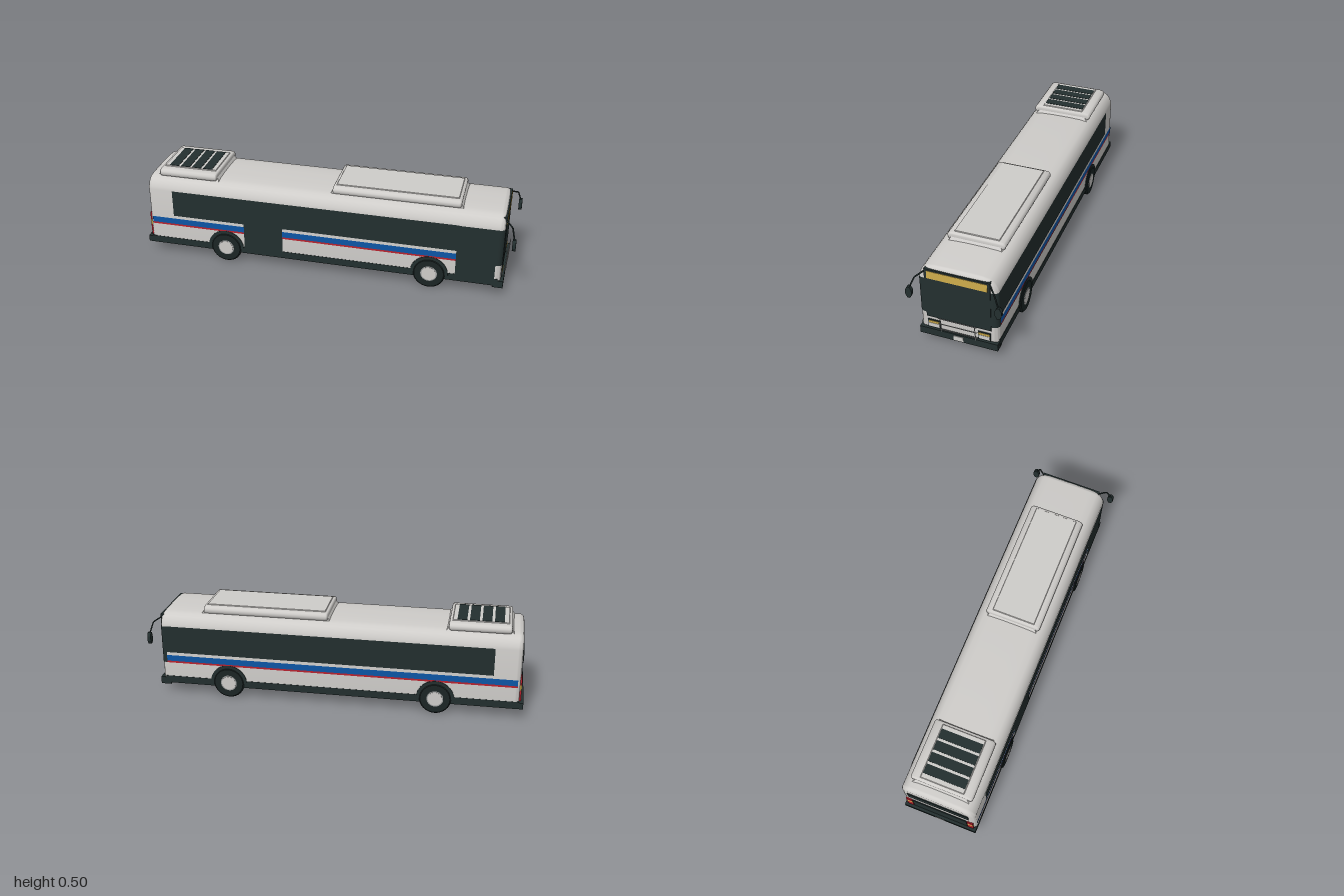
import * as THREE from 'three';
import { toCreasedNormals } from 'three/addons/utils/BufferGeometryUtils.js';

const paint = (name, color) => Object.assign(new THREE.MeshStandardMaterial({ color }), { name });

export function createModel() {
  const bus = new THREE.Group();
  bus.name = 'bus';
  const white = paint('bodyWhite', 0xcfcdca);
  const dark = paint('darkGlass', 0x232f2f);
  const rubber = paint('tyreRubber', 0x1b2525);
  const blue = paint('stripeBlue', 0x0c56a6);
  const red = paint('stripeRed', 0xb8222e);
  const gold = paint('signAmber', 0xd0ae4c);
  const grey = paint('rackGrey', 0x9c9e9e);
  const stripMats = new Map();
  const twoSided = [dark, blue, red];
  twoSided.forEach((m) => { m.side = THREE.DoubleSide; stripMats.set(m, m); });

  const add = (name, geo, mat) => {
    const m = new THREE.Mesh(geo, mat);
    m.name = name;
    bus.add(m);
    return m;
  };
  // Box given by its limits on each axis
  const box = (name, mat, x0, x1, y0, y1, z0, z1) => {
    const m = add(name, new THREE.BoxGeometry(x1 - x0, y1 - y0, z1 - z0), mat);
    m.position.set((x0 + x1) / 2, (y0 + y1) / 2, (z0 + z1) / 2);
    return m;
  };
  // Symmetric cross-section extruded along x with rounded ends
  const loft = (name, half, x0, x1, r, steps) => {
    const pts = [...half, ...half.slice().reverse().map(([z, y]) => [-z, y])];
    const shape = new THREE.Shape(pts.map(([z, y]) => new THREE.Vector2(z, y)));
    const geo = new THREE.ExtrudeGeometry(shape, {
      depth: x1 - x0 - 2 * r, bevelSize: r, bevelThickness: r, bevelOffset: -r, bevelSegments: steps,
    });
    geo.rotateY(Math.PI / 2).translate(x0 + r, 0, 0);
    return add(name, toCreasedNormals(geo, 0.7), white);
  };
  // Upright strip that follows a plan path of [x, z] points
  const strip = (name, mat, path, y0, y1) => {
    const pos = [], idx = [];
    path.forEach(([x, z], i) => {
      pos.push(x, y0, z, x, y1, z);
      const a = 2 * i;
      if (i) idx.push(a - 2, a, a + 1, a - 2, a + 1, a - 1);
    });
    const geo = new THREE.BufferGeometry();
    geo.setAttribute('position', new THREE.Float32BufferAttribute(pos, 3));
    geo.setIndex(idx);
    geo.computeVertexNormals();
    return add(name, geo, mat);
  };
  // Path along one side (s = 1 or -1), optionally wrapped round the front corner
  const sidePath = (s, x0, x1, wrap = false) => {
    const p = [[x0, 0.202]];
    if (!wrap) p.push([x1, 0.202]);
    else for (let i = 0; i <= 6; i++) {
      const a = (i / 6) * Math.PI / 2;
      p.push([0.915 + 0.027 * Math.sin(a), 0.175 + 0.027 * Math.cos(a)]);
    }
    if (wrap) p.push([0.942, 0.163]);
    const q = p.map(([x, z]) => [x, s * z]);
    return s > 0 ? q : q.reverse();
  };

  // Body shell and dark underbody
  loft('bodyShell', [[0.2, 0.07], [0.2, 0.388], [0.196, 0.405], [0.187, 0.424], [0.174, 0.441],
    [0.155, 0.453], [0.12, 0.458], [0.05, 0.46]], -0.98, 0.94, 0.025, 5);
  box('skirt', dark, -0.977, 0.925, 0.06, 0.1, -0.2015, 0.2015);
  box('frontBumper', dark, 0.9, 0.955, 0.05, 0.09, -0.201, 0.201);
  box('rearBumper', dark, -1, -0.95, 0.06, 0.095, -0.201, 0.201);

  // Side windows, door panels and stripes
  strip('doorSideWindow', dark, sidePath(1, -0.84, 0.71), 0.24, 0.39);
  strip('middleDoor', dark, sidePath(1, -0.44, -0.225), 0.075, 0.242);
  strip('frontDoorLower', dark, sidePath(1, 0.705, 0.908), 0.075, 0.182);
  strip('frontDoorUpper', dark, sidePath(1, 0.705, 0.94, true), 0.18, 0.388);
  strip('farSideWindow', dark, sidePath(-1, -0.84, 0.92), 0.24, 0.39);
  strip('farCornerWindow', dark, sidePath(-1, 0.912, 0.94, true), 0.18, 0.388);
  for (const [s, x0, x1] of [[1, -0.965, -0.44], [1, -0.225, 0.705], [-1, -0.965, 0.912]]) {
    strip('blueStripe', blue, sidePath(s, x0, x1), 0.19, 0.223);
    strip('redStripe', red, sidePath(s, x0, x1), 0.18, 0.19);
  }

  // Front: windscreen, destination sign, number plate
  box('windscreen', dark, 0.91, 0.945, 0.158, 0.445, -0.165, 0.165);
  box('destinationSign', gold, 0.944, 0.947, 0.393, 0.436, -0.152, 0.152);
  box('frontPlate', white, 0.953, 0.958, 0.055, 0.082, -0.025, 0.025);

  // Rear: window, engine cover, number plate
  box('rearWindow', dark, -0.985, -0.978, 0.308, 0.38, -0.165, 0.165);
  box('engineCover', dark, -0.985, -0.978, 0.095, 0.232, -0.15, 0.15);
  box('rearPlate', white, -1.0005, -0.995, 0.064, 0.09, -0.025, 0.025);

  // Bicycle rack
  const rod = (name, pts, r, mat) => add(name, new THREE.TubeGeometry(
    new THREE.CatmullRomCurve3(pts.map((p) => new THREE.Vector3(...p)), false, 'catmullrom', 0.1), 12, r, 6), mat);
  for (const [y, x] of [[0.174, 0.963], [0.138, 0.959], [0.101, 0.955]])
    rod('rackBar', [[x, y, 0.1], [x, y, -0.1]], 0.0025, grey);

  for (const s of [1, -1]) {
    const zbox = (name, mat, x0, x1, y0, y1, z0, z1) =>
      box(name, mat, x0, x1, y0, y1, Math.min(s * z0, s * z1), Math.max(s * z0, s * z1));
    rod('rackPost', [[0.953, 0.08, s * 0.088], [0.963, 0.174, s * 0.088]], 0.0025, grey);
    // Headlights
    zbox('headlightFrame', dark, 0.938, 0.944, 0.092, 0.139, 0.097, 0.161);
    zbox('turnSignal', gold, 0.943, 0.946, 0.12, 0.132, 0.101, 0.157);
    zbox('headlight', white, 0.943, 0.946, 0.096, 0.118, 0.101, 0.157);
    // Tail lights
    zbox('tailLightTop', red, -0.986, -0.97, 0.19, 0.235, 0.153, 0.186);
    zbox('tailLightMiddle', gold, -0.986, -0.97, 0.16, 0.19, 0.153, 0.186);
    zbox('tailLightBottom', red, -0.986, -0.97, 0.1, 0.16, 0.153, 0.186);
    // Mirrors on bent arms
    rod('mirrorArm', [[0.935, 0.432, s * 0.16], [0.975, 0.41, s * 0.198], [0.99, 0.355, s * 0.222]], 0.004, dark);
    const mirror = add('mirror', toCreasedNormals(new THREE.CylinderGeometry(0.5, 0.5, 1, 8)
      .rotateY(Math.PI / 8).rotateZ(Math.PI / 2), 0.4), dark);
    mirror.scale.set(0.018, 0.068, 0.035);
    mirror.position.set(0.991, 0.328, s * 0.224);

    // Wheels, doubled at the rear, under dark arches
    for (const [x, rear] of [[0.57, false], [-0.545, true]]) {
      const disc = (name, r, z0, z1, mat, n = 32) => {
        const m = add(name, new THREE.CylinderGeometry(r, r, z1 - z0, n).rotateX(Math.PI / 2), mat);
        m.position.set(x, 0.085, s * (z0 + z1) / 2);
      };
      const arch = add('wheelArch', new THREE.CylinderGeometry(0.1, 0.1, 0.01, 24, 1, false,
        Math.PI / 2, Math.PI).rotateX(Math.PI / 2), dark);
      arch.position.set(x, 0.085, s * 0.1985);
      for (const z of rear ? [0.18, 0.126] : [0.18]) {
        const out = z > 0.15 ? 0.027 : 0.022;
        const tyre = add('tyre', new THREE.LatheGeometry([[0.04, -0.022], [0.078, -0.022], [0.085, -0.015],
          [0.085, out - 0.007], [0.078, out], [0.04, out]].map((p) => new THREE.Vector2(...p)), 32), dark);
        tyre.geometry = toCreasedNormals(tyre.geometry, 0.5);
        tyre.material = rubber;
        tyre.rotation.x = s * Math.PI / 2;
        tyre.position.set(x, 0.085, s * z);
        disc('rim', 0.05, z - 0.018, z + out - 0.002, dark);
      }
      disc('wheelRim', 0.044, 0.19, 0.2075, grey);
      disc('wheelHub', 0.038, 0.19, 0.209, white);
      disc('axle', 0.015, 0, 0.17, rubber, 12);
    }
  }

  // Roof units: rounded flanks with a tapered raised cover
  for (const [name, x0, x1, w] of [['rearRoofUnit', -0.93, -0.585, 0.166], ['frontRoofUnit', 0.025, 0.722, 0.15]]) {
    loft(name, [[w - 0.02, 0.452], [w - 0.006, 0.459], [w, 0.472], [w - 0.002, 0.484], [w - 0.01, 0.493],
      [w - 0.03, 0.497]], x0 + 0.012, x1 - 0.012, 0.012, 3);
    const cover = box(name + 'Cover', white, x0, x1, 0.453, 0.501, -w + 0.012, w - 0.012);
    const p = cover.geometry.attributes.position;
    for (let i = 0; i < p.count; i++) {
      if (p.getY(i) > 0) p.setXYZ(i, p.getX(i) - Math.sign(p.getX(i)) * 0.03, p.getY(i), Math.sign(p.getZ(i)) * 0.114);
    }
    cover.geometry.computeVertexNormals();
  }
  // Vent slots
  for (let i = 0; i < 4; i++) {
    const x = -0.877 + i * 0.0635;
    box('ventSlot', dark, x, x + 0.05, 0.498, 0.503, -0.112, 0.112);
  }
  return bus;
}
